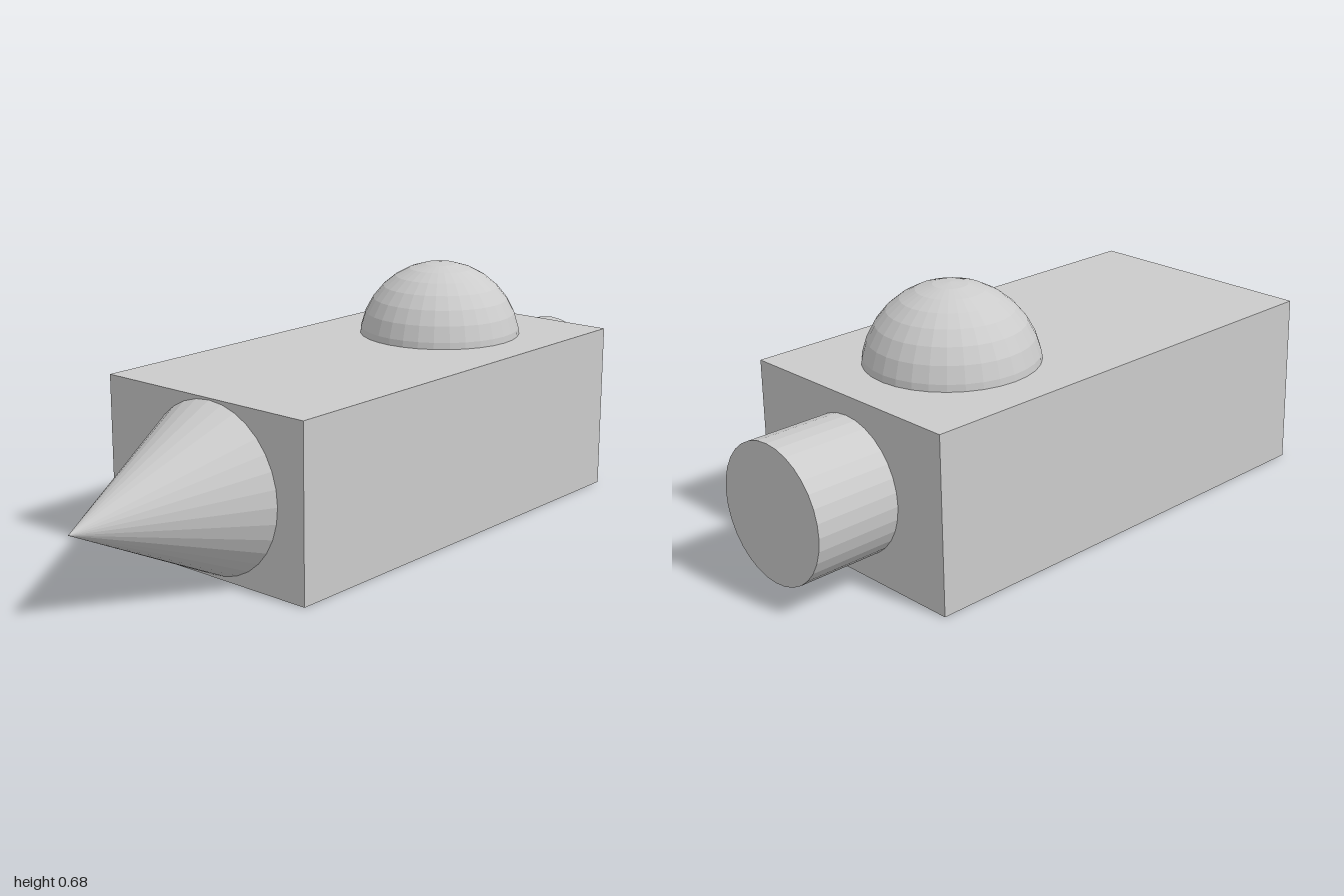
import * as THREE from 'three';

export function createModel() {
  const model = new THREE.Group();
  const material = new THREE.MeshStandardMaterial({ color: 0xcccccc, flatShading: true });

  function add(name, geometry, x, y, z) {
    const mesh = new THREE.Mesh(geometry, material);
    mesh.name = name;
    mesh.position.set(x, y, z);
    model.add(mesh);
  }

  // Long box body
  add('body', new THREE.BoxGeometry(0.68, 0.47, 1.305), 0, 0.235, -0.1125);

  // Pointed nose, set slightly off centre
  add('noseCone', new THREE.ConeGeometry(0.229, 0.46, 32).rotateX(Math.PI / 2), 0.025, 0.236, 0.77);

  // Dome: a ball sunk into the top of the body
  add('dome', new THREE.SphereGeometry(0.232, 32, 16), 0, 0.443, -0.42);

  // Round stub at the back
  add('rearCylinder', new THREE.CylinderGeometry(0.182, 0.182, 0.235, 32).rotateX(Math.PI / 2), 0, 0.236, -0.8825);

  return model;
}
